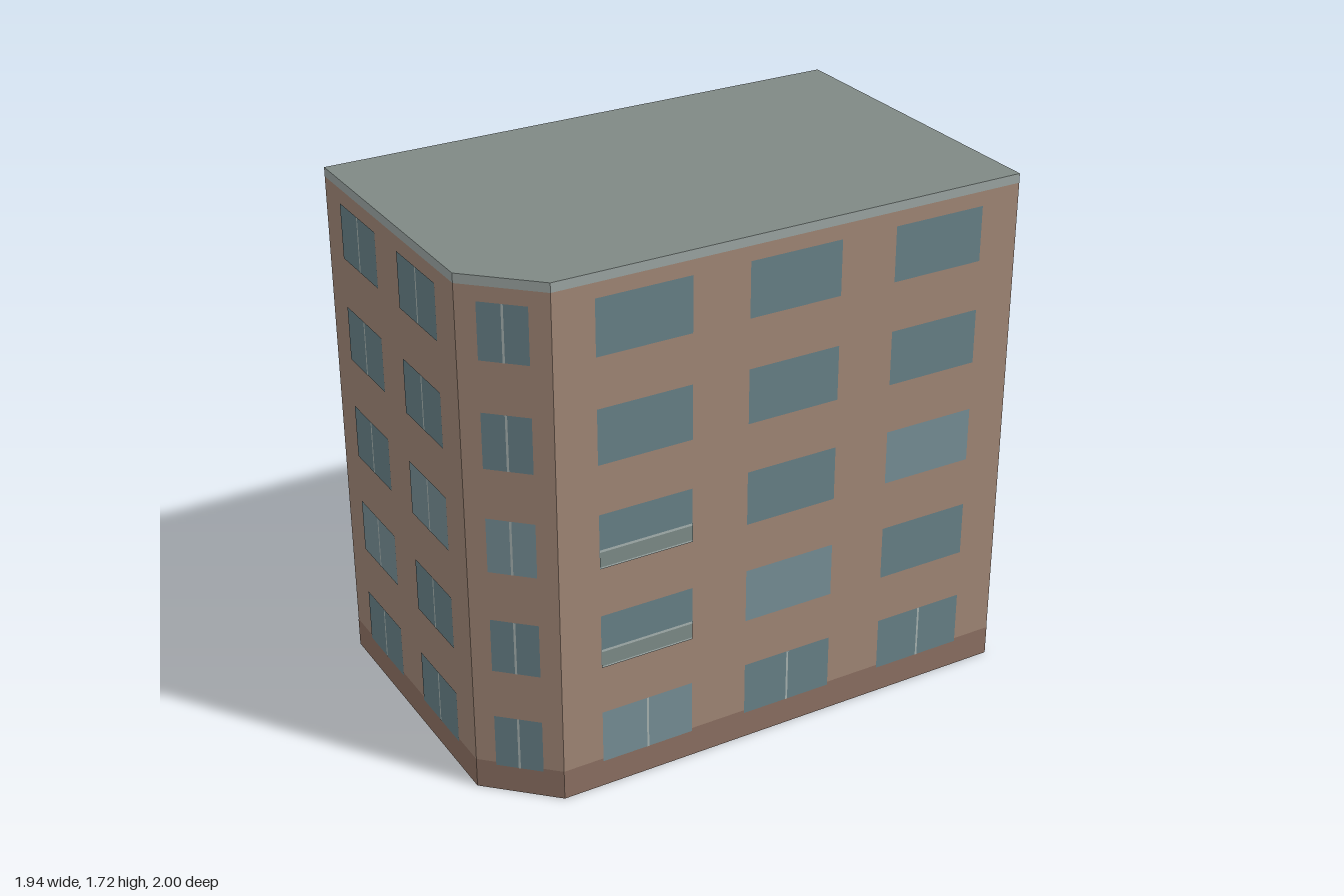
import * as THREE from 'three';

const mat = (color, side = THREE.FrontSide) => new THREE.MeshStandardMaterial({ color, side });
const wallMat = mat(0xa08676, THREE.DoubleSide), plinthMat = mat(0x8c7062);
const roofMat = mat(0x7f8985, THREE.DoubleSide), parapetMat = mat(0x9ba5a2, THREE.DoubleSide);
const glassMat = mat(0x678087), paleGlassMat = mat(0x768e95);
const frameMat = mat(0xa6b2b0), panelMat = mat(0x7d8b88);

// Footprint corners as [x, z]
const A = [0.06, -1], B = [0.967, -0.36], C = [0.052, 0.945], D = [-0.222, 0.998], E = [-0.968, 0.47];
const sills = [0.09, 0.433, 0.777, 1.12, 1.463];
const winH = 0.18, eaves = 1.69, top = 1.72;

// Facades run left to right as seen from outside; paned and balcony pick windows by row and column
const facades = [
  { name: 'frontFacade', from: E, to: D, cols: [0.268, 0.725], width: 0.285, shift: 1,
    paned: () => true, balcony: () => false },
  { name: 'cornerFacade', from: D, to: C, cols: [0.5], width: 0.54, shift: 2,
    paned: () => true, balcony: () => false },
  { name: 'rightFacade', from: C, to: B, cols: [0.183, 0.5, 0.817], width: 0.197, shift: 0,
    paned: (r) => r === 0, balcony: (r, c) => c === 0 && (r === 1 || r === 2) },
  { name: 'backFacade', from: B, to: A, cols: [0.19, 0.5, 0.81], width: 0.195, shift: 0,
    paned: (r, c) => r < 3 || (r === 3 && c > 0), balcony: () => false },
  { name: 'leftFacade', from: A, to: E, cols: [0.183, 0.5, 0.817], width: 0.2, shift: 0,
    paned: () => false, balcony: (r, c) => c === 1 && r > 0 && r < 4 },
];

// Flat panel centred on x, from y0 to y1, a little proud of the wall plane
function panel(parent, name, material, x, w, y0, y1, offset) {
  const mesh = new THREE.Mesh(new THREE.PlaneGeometry(w, y1 - y0), material);
  mesh.position.set(x, (y0 + y1) / 2, offset);
  mesh.name = name;
  parent.add(mesh);
}

function createFacade({ name, from, to, cols, width, shift, paned, balcony }) {
  const facade = new THREE.Group();
  facade.name = name;
  const dx = to[0] - from[0], dz = to[1] - from[1];
  const length = Math.hypot(dx, dz), mid = length / 2;
  facade.position.set(from[0], 0, from[1]);
  facade.rotation.y = Math.atan2(-dz, dx);

  panel(facade, 'wall', wallMat, mid, length, 0, eaves, 0);
  panel(facade, 'parapet', parapetMat, mid, length, eaves, top, 0);
  panel(facade, 'plinth', plinthMat, mid, length, 0, 0.1, 0.001);

  sills.forEach((sill, row) => cols.forEach((u, col) => {
    const x = u * length, w = width * length, head = sill + winH;
    panel(facade, 'window', row === col + shift ? paleGlassMat : glassMat, x, w, sill, head, 0.002);
    if (paned(row, col)) panel(facade, 'mullion', frameMat, x, 0.007, sill, head, 0.003);
    if (balcony(row, col)) {
      // Shallow balcony: panel between a bottom and a top rail
      panel(facade, 'balconyPanel', panelMat, x, w, sill, sill + 0.062, 0.004);
      panel(facade, 'balconyFloor', frameMat, x, w, sill, sill + 0.006, 0.005);
      panel(facade, 'balconyRail', frameMat, x, w, sill + 0.056, sill + 0.064, 0.005);
    }
  }));
  return facade;
}

// Flat roof over the footprint; the block is hollow and open below
function createRoof() {
  const shape = new THREE.Shape([A, E, D, C, B].map(([x, z]) => new THREE.Vector2(x, -z)));
  const roof = new THREE.Mesh(new THREE.ShapeGeometry(shape), roofMat);
  roof.rotation.x = -Math.PI / 2;
  roof.position.y = top;
  roof.name = 'roof';
  return roof;
}

export function createModel() {
  const model = new THREE.Group();
  model.name = 'apartmentBlock';
  model.add(createRoof());
  facades.forEach((f) => model.add(createFacade(f)));
  return model;
}
